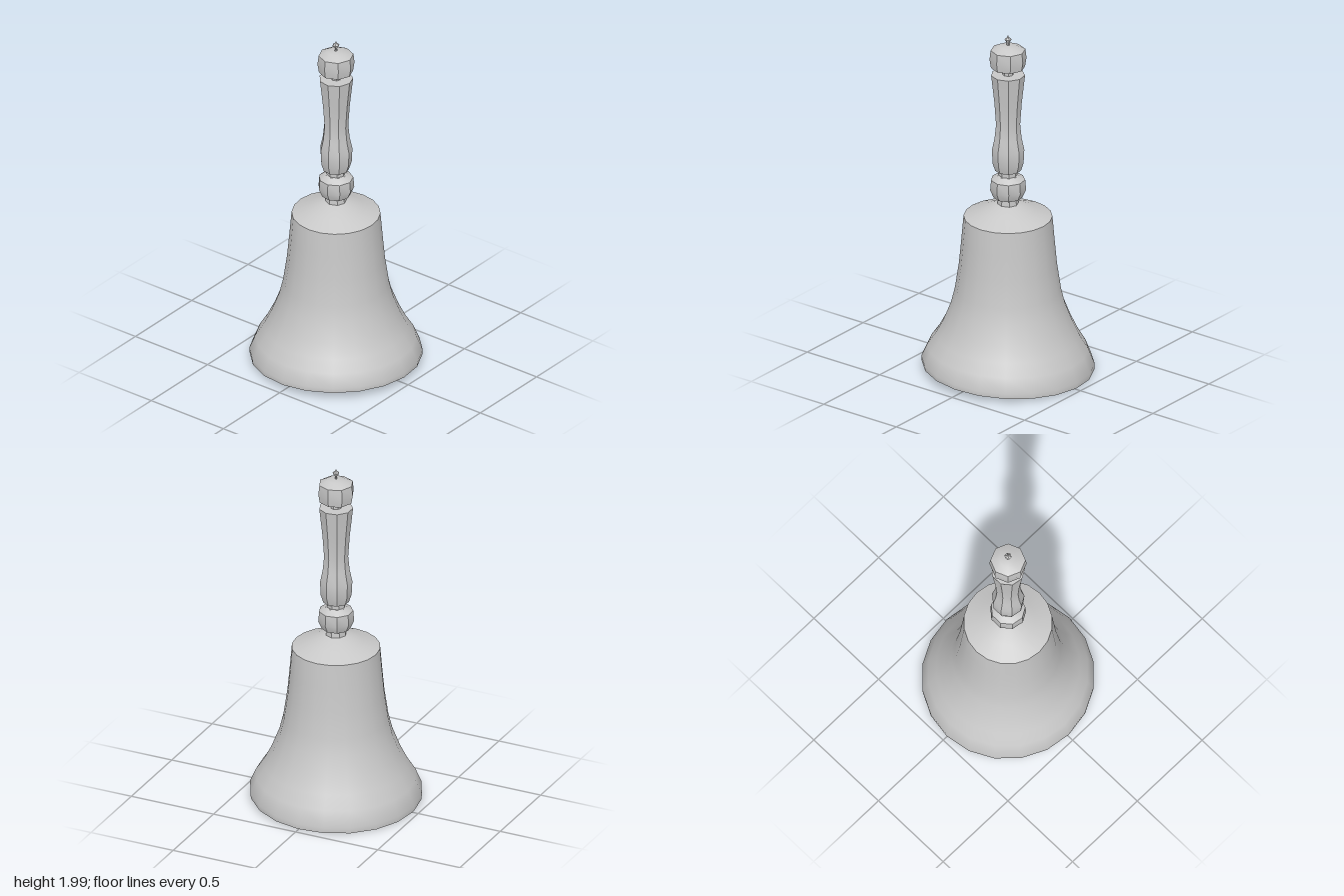
import * as THREE from 'three';
import { toCreasedNormals } from 'three/addons/utils/BufferGeometryUtils.js';

const metal = new THREE.MeshStandardMaterial({ color: 0xc8c8c8 });
metal.name = 'light grey';
metal.side = THREE.DoubleSide;

// Revolved part from [radius, height] pairs, listed upward along the outside
function turned(name, profile, sides, bend) {
  const points = profile.map(([r, y]) => new THREE.Vector2(r, y));
  const geometry = new THREE.LatheGeometry(points, sides);
  if (bend) bend(geometry.attributes.position);
  const mesh = new THREE.Mesh(toCreasedNormals(geometry, 0.6), metal);
  mesh.name = name;
  return mesh;
}

// Slightly uneven lip, lowest at the back left
function tiltLip(position) {
  for (let i = 0; i < position.count; i++) {
    const y = position.getY(i);
    const fade = Math.max(0, 1 - y / 0.3);
    const side = (position.getX(i) - position.getZ(i)) / 0.67;
    position.setY(i, y - 0.024 * fade * side);
  }
}

export function createModel() {
  const bell = new THREE.Group();
  bell.name = 'handBell';

  // Hollow body: inner wall downward, round the lip, outer wall upward
  bell.add(turned('bellBody', [
    [0, 0.91], [0.21, 0.89], [0.23, 0.75], [0.25, 0.58], [0.295, 0.4],
    [0.35, 0.26], [0.41, 0.15], [0.45, 0.03],
    [0.472, 0.03], [0.474, 0.06], [0.44, 0.14], [0.395, 0.21],
    [0.355, 0.29], [0.312, 0.4], [0.29, 0.49], [0.268, 0.64],
    [0.255, 0.78], [0.243, 0.92], [0.15, 0.957], [0.06, 0.995], [0, 1.0],
  ], 20, tiltLip));

  // Neck with a ring collar
  bell.add(turned('neck', [[0, 0.98], [0.06, 0.98], [0.052, 1.05], [0.052, 1.2], [0, 1.2]], 8));
  bell.add(turned('collar', [
    [0.05, 1.03], [0.08, 1.035], [0.1, 1.08], [0.095, 1.14], [0.06, 1.165], [0.05, 1.165],
  ], 9));

  // Grip, flared at the top and swelling near the base
  bell.add(turned('grip', [
    [0, 1.19], [0.072, 1.195], [0.086, 1.24], [0.09, 1.32], [0.075, 1.39],
    [0.067, 1.47], [0.076, 1.6], [0.094, 1.765], [0, 1.765],
  ], 9));

  // Spacer, knob and small finial
  bell.add(turned('spacer', [[0.03, 1.76], [0.03, 1.82]], 8));
  bell.add(turned('knob', [
    [0, 1.805], [0.094, 1.808], [0.102, 1.86], [0.096, 1.912], [0.05, 1.935], [0, 1.94],
  ], 8));
  bell.add(turned('finial', [
    [0.008, 1.93], [0.007, 1.955], [0.02, 1.975], [0.006, 1.985], [0, 2.0],
  ], 6));

  // Clapper hanging inside
  const clapper = new THREE.Group();
  clapper.name = 'clapper';
  clapper.add(turned('clapperRod', [[0.014, 0.15], [0.014, 0.91]], 6));
  clapper.add(turned('clapperBall', [
    [0, 0.035], [0.035, 0.045], [0.055, 0.09], [0.04, 0.14], [0.014, 0.18],
  ], 8));
  bell.add(clapper);

  return bell;
}
